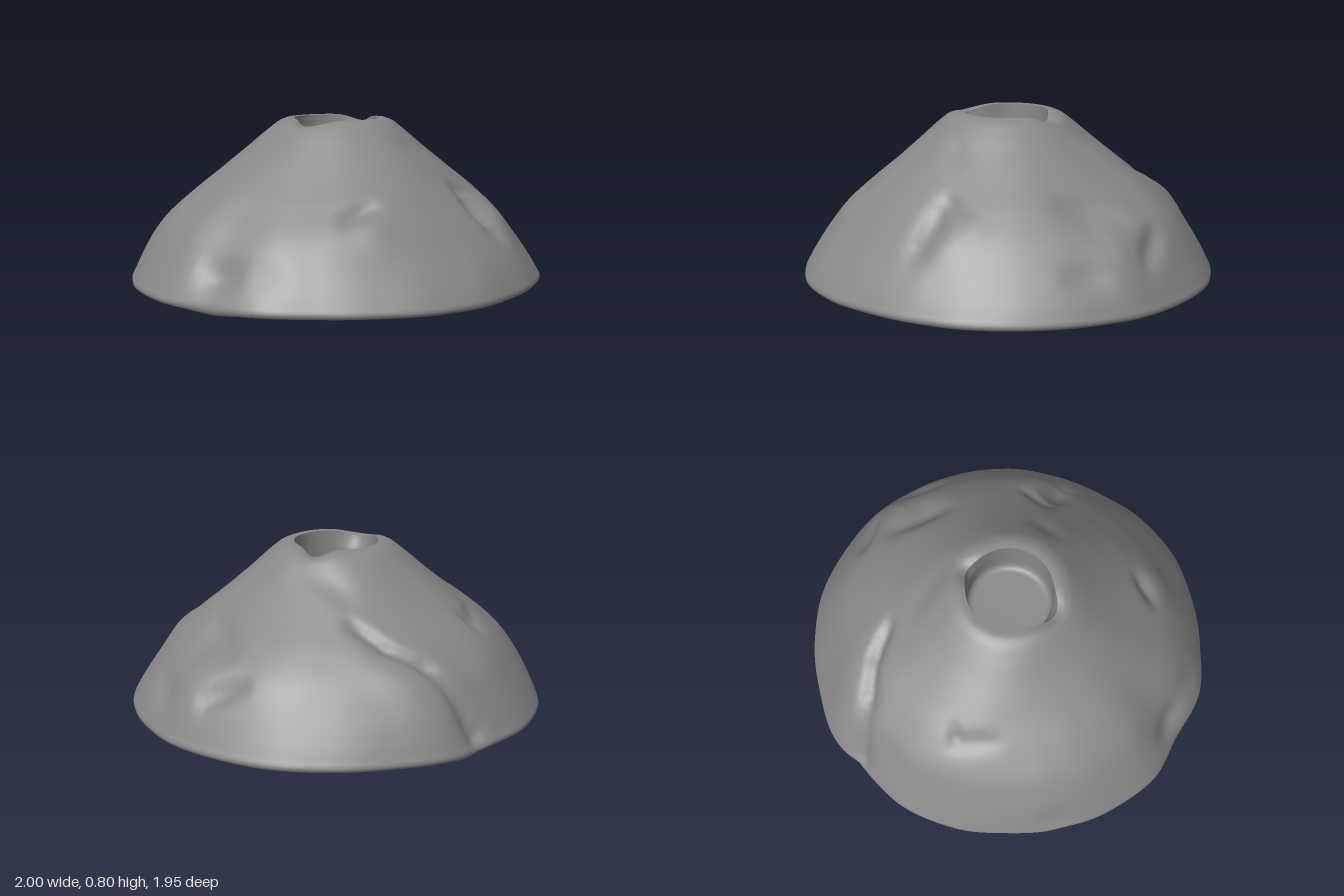
import * as THREE from 'three';

// Base outline radius every 15 degrees, from +x round towards +z
const OUTLINE = [1.0, 0.99, 0.985, 0.98, 0.965, 0.96, 0.975, 0.98, 0.968, 0.968, 0.99, 0.965,
  1.0, 0.992, 0.982, 0.973, 0.985, 0.99, 0.972, 1.0, 0.985, 0.99, 1.0, 0.995];

// Slope profile (radius, height) from the lip down to the rounded foot
const SLOPE = [[0.235, 0.807], [0.27, 0.793], [0.33, 0.747], [0.42, 0.672], [0.55, 0.572], [0.7, 0.462],
  [0.82, 0.355], [0.9, 0.245], [0.955, 0.15], [0.985, 0.09], [0.998, 0.062], [0.992, 0.046], [0.965, 0.04]];
const FOOT_RADIUS = 0.965, FOOT_HEIGHT = 0.04;

// Dents (positive) and swellings (negative): x1, z1, x2, z2, width, depth
const DENTS = [
  [0.29, 0.57, 0.33, 0.70, 0.06, 0.04], [0.28, 0.53, 0.42, 0.51, 0.028, 0.014],
  [0.47, 0.56, 0.42, 0.72, 0.08, -0.015], [-0.42, 0.56, -0.30, 0.58, 0.032, 0.025],
  [-0.35, 0.66, -0.33, 0.67, 0.07, -0.015], [0.63, 0.14, 0.72, -0.06, 0.055, 0.032],
  [0.70, 0.13, 0.76, 0.04, 0.06, 0.015], [0.80, -0.24, 0.89, -0.10, 0.035, 0.032],
  [0.84, 0.28, 0.90, 0.14, 0.04, 0.018], [0.85, 0.0, 0.86, 0.06, 0.09, -0.015],
  [0.34, -0.46, 0.29, -0.60, 0.032, 0.032], [0.29, -0.60, 0.18, -0.75, 0.03, 0.03],
  [0.18, -0.75, 0.08, -0.94, 0.04, 0.03], [0.40, -0.60, 0.27, -0.85, 0.09, -0.02],
  [0.06, -0.98, 0.08, -0.93, 0.055, 0.035],
  [-0.40, -0.50, -0.28, -0.63, 0.04, 0.016], [-0.28, -0.62, -0.24, -0.59, 0.03, 0.016],
  [-0.88, 0.18, -0.84, 0.32, 0.04, 0.03], [-0.82, 0.38, -0.76, 0.52, 0.05, 0.014],
  [0.08, 0.37, 0.18, 0.38, 0.045, 0.01], [-0.86, -0.44, -0.78, -0.52, 0.035, 0.016],
  [0.30, -0.12, 0.28, -0.35, 0.06, 0.012],
];

// Low spots on the underside: x, z, width, drop
const FEET = [[-0.8, 0.22, 0.14, 0.034], [0.1, -0.86, 0.12, 0.022], [-0.55, 0.3, 0.2, 0.008]];

// Worn notches in the lip: angle, angular width, outward push, drop
const NOTCHES = [[2.85, 0.4, 0.035, 0.03], [-0.32, 0.3, 0.02, 0.035]];

function outlineAt(angle) {
  const n = OUTLINE.length, a = angle / (Math.PI * 2) * n;
  const i = Math.floor(a), f = a - i, s = f * f * (3 - 2 * f);
  return OUTLINE[i % n] * (1 - s) + OUTLINE[(i + 1) % n] * s;
}

function dentDepth(x, z) {
  let total = 0;
  for (const [x1, z1, x2, z2, width, depth] of DENTS) {
    const dx = x2 - x1, dz = z2 - z1;
    const t = THREE.MathUtils.clamp(((x - x1) * dx + (z - z1) * dz) / (dx * dx + dz * dz), 0, 1);
    const d2 = (x - x1 - t * dx) ** 2 + (z - z1 - t * dz) ** 2;
    total += depth * (1 - 0.4 * (2 * t - 1) ** 2) * Math.exp(-d2 / (width * width));
  }
  return total;
}

// Outward push and drop of the lip, strongest at the hole's edge
function lipWear(angle, strength) {
  let push = 0, drop = 0;
  for (const [at, width, out, down] of NOTCHES) {
    const d = Math.atan2(Math.sin(angle - at), Math.cos(angle - at)) / width;
    push += out * strength * Math.exp(-d * d);
    drop += down * strength * Math.exp(-d * d);
  }
  return [push, drop];
}

function footDrop(x, z, y) {
  let drop = 0;
  for (const [fx, fz, width, depth] of FEET) {
    drop += depth * Math.exp(-((x - fx) ** 2 + (z - fz) ** 2) / (width * width));
  }
  return drop * (1 - THREE.MathUtils.smoothstep(y, 0.042, 0.085));
}

// Surface of rings swept round the axis, each point moved by a rule
function ringSurface(profile, rule, name, material, segments = 180) {
  const positions = [], index = [];
  profile.forEach(([r, y], i) => {
    for (let j = 0; j < segments; j++) {
      positions.push(...rule(r, y, j / segments * Math.PI * 2));
      if (i + 1 === profile.length) continue;
      const a = i * segments + j, c = i * segments + (j + 1) % segments;
      index.push(a, c, a + segments, c, c + segments, a + segments);
    }
  });
  const geometry = new THREE.BufferGeometry();
  geometry.setAttribute('position', new THREE.Float32BufferAttribute(positions, 3));
  geometry.setIndex(index);
  geometry.computeVertexNormals();
  const mesh = new THREE.Mesh(geometry, material);
  mesh.name = name;
  return mesh;
}

// Lumpy outer skin: uneven outline, flatter front, dents pressed along the slope
function moundRule(r, y, angle) {
  const c = Math.cos(angle), s = Math.sin(angle);
  const spread = THREE.MathUtils.smoothstep(r, 0.3, 0.95);
  const middle = Math.sin(Math.PI * THREE.MathUtils.clamp((y - 0.06) / 0.74, 0, 1));
  let radius = r * (1 + (outlineAt(angle) - 1) * spread);
  radius *= 1 - 0.06 * Math.max(0, s) * middle * middle;
  radius += 0.008 * middle * Math.sin(angle * 5 + y * 9);
  const dent = dentDepth(radius * c, radius * s) * (y < 0.07 ? 0.5 : 1);
  radius -= dent * 0.6 * THREE.MathUtils.smoothstep(r, 0.25, 0.4);
  const [push, drop] = lipWear(angle, 1 - THREE.MathUtils.smoothstep(r, 0.2, 0.34));
  radius += push;
  const height = y - drop - dent * 0.8 * THREE.MathUtils.smoothstep(y, 0.05, 0.15);
  return [radius * c, height - footDrop(radius * c, radius * s, y), radius * s];
}

// Socket wall, opening out to meet the worn lip
function socketRule(r, y, angle) {
  const [push, drop] = lipWear(angle, THREE.MathUtils.smoothstep(y, 0.7, 0.807));
  return [(r + push) * Math.cos(angle), y - drop, (r + push) * Math.sin(angle)];
}

// Underside rings, shrunk from the foot towards the centre
function undersideRule(r, y, angle) {
  const [ex, ey, ez] = moundRule(FOOT_RADIUS, y, angle);
  const t = r / FOOT_RADIUS, x = ex * t, z = ez * t;
  return [x, t === 1 ? ey : y - footDrop(x, z, y), z];
}

export function createModel() {
  const group = new THREE.Group();
  group.name = 'rockMound';
  const material = new THREE.MeshStandardMaterial({ color: 0x888888 });

  // Outer slope, with the narrow lip round the hole
  const curve = new THREE.CatmullRomCurve3(SLOPE.map(([r, y]) => new THREE.Vector3(r, y, 0)));
  const slope = curve.getSpacedPoints(100).map((p) => [p.x, p.y]);
  group.add(ringSurface([[0.2, 0.807], [0.218, 0.808], ...slope], moundRule, 'mound', material));

  // Round socket sunk into the top
  const socket = [[0, 0.6], [0.165, 0.6], [0.182, 0.604], [0.194, 0.616], [0.2, 0.635],
    [0.2, 0.7], [0.2, 0.735], [0.2, 0.77], [0.2, 0.807]];
  group.add(ringSurface(socket, socketRule, 'socket', material));

  // Nearly flat underside, meeting the foot of the slope
  const underside = [];
  for (let i = 0; i <= 30; i++) underside.push([FOOT_RADIUS * (1 - i / 30), FOOT_HEIGHT]);
  group.add(ringSurface(underside, undersideRule, 'underside', material));

  return group;
}
